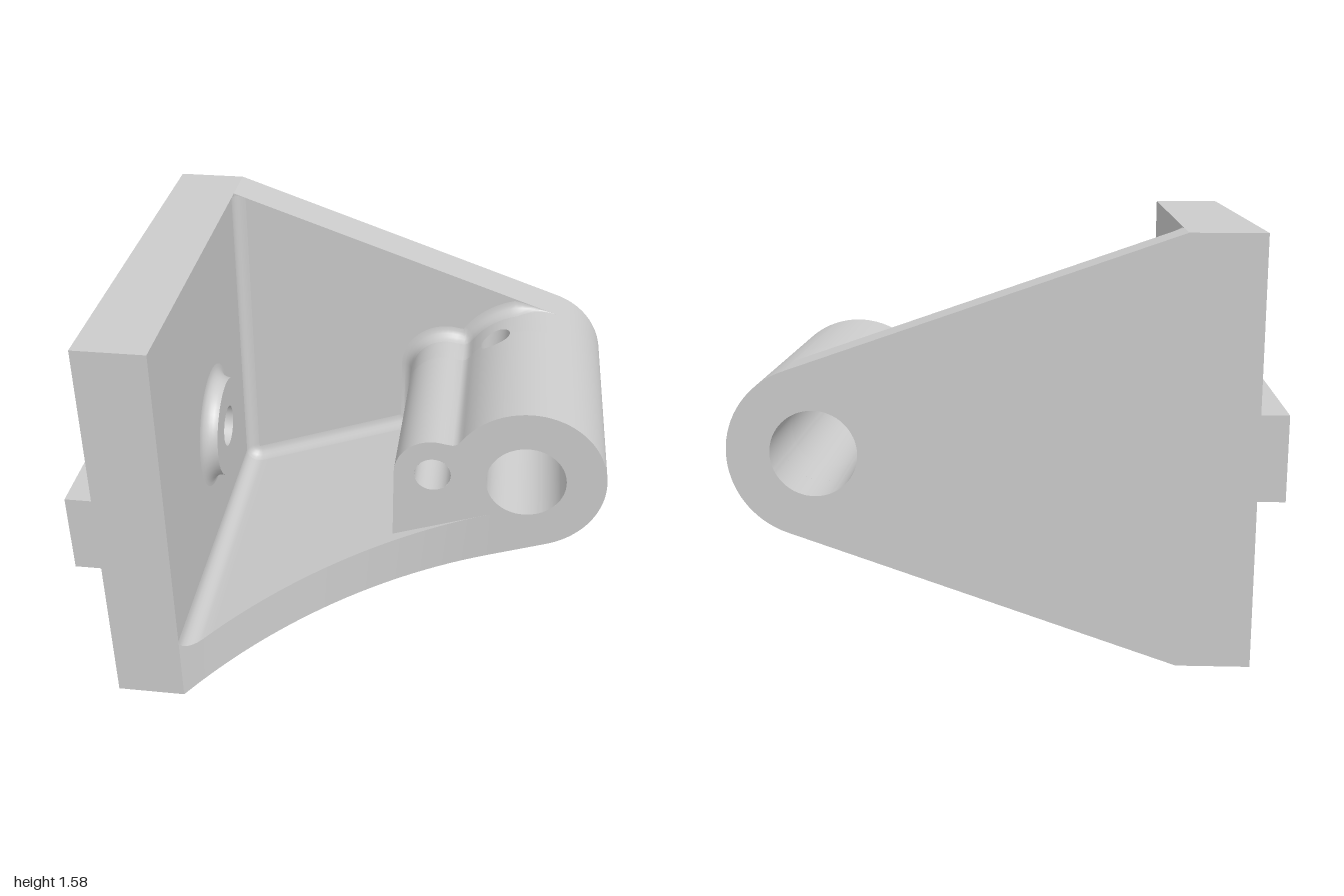
import * as THREE from 'three';
import { toCreasedNormals } from 'three/addons/utils/BufferGeometryUtils.js';

const BACK = -0.79, WEB = -0.6, FRONT = 0.255;          // z planes
const BX = 0.68, BY = 0.79, BR = 0.315, BORE = 0.158;   // pivot barrel
const HX = 0.52, HZ = -0.41, HR = 0.06, CR = 0.145, FLOOR = 0.47; // cross hole
const SX = 0.31, SY = 0.795, SR = 0.155;                // small side lug
const INNER = -0.63, SLOPE = 0.3484, TILT = Math.atan(SLOPE);
const TX = BX + BR * Math.sin(TILT), TY = BR * Math.cos(TILT);

const material = new THREE.MeshStandardMaterial({ color: 0xcccccc, side: THREE.DoubleSide });
const range = (n, f) => Array.from({ length: n + 1 }, (_, i) => f(i / n));
const bottom = x => (x - INNER) * SLOPE;
const ledge = x => bottom(x) + 0.21;
const topLine = x => 1.58 - bottom(x);
const halfChord = (r, d) => Math.sqrt(Math.max(0, r * r - d * d));

// Concave front edge of the lower flange, tangent to the barrel's front plane
const RUN = 0.55 - INNER, RISE = 0.79 - FRONT, ARC = (RUN * RUN + RISE * RISE) / (2 * RISE);
const flangeFront = x => x > 0.55 ? FRONT : FRONT + ARC - halfChord(ARC, x - 0.55);

export function createModel() {
  const group = new THREE.Group();

  function add(name, geometry) {
    const mesh = new THREE.Mesh(geometry, material);
    mesh.name = name;
    group.add(mesh);
    return mesh;
  }

  // Surface through rows of points
  function loft(name, rows) {
    const pos = [];
    for (let r = 0; r + 1 < rows.length; r++) {
      for (let i = 0; i + 1 < rows[r].length; i++) {
        const a = rows[r][i], b = rows[r][i + 1], c = rows[r + 1][i + 1], d = rows[r + 1][i];
        pos.push(...a, ...b, ...c, ...a, ...c, ...d);
      }
    }
    const geo = new THREE.BufferGeometry();
    geo.setAttribute('position', new THREE.Float32BufferAttribute(pos, 3));
    geo.computeVertexNormals();
    add(name, toCreasedNormals(geo, 0.5));
  }

  // Wall swept along z from a profile, with an optional round opening of radius r
  function wall(name, pts, zA, zB, r = 0) {
    const end = x => typeof zB === 'function' ? zB(x) : zB;
    const row = f => pts.map(([x, y]) => [x, y, f(x)]);
    if (!r) return loft(name, [row(() => zA), row(end)]);
    loft(name, [row(() => zA), row(x => HZ - halfChord(r, x - HX))]);
    loft(name, [row(x => HZ + halfChord(r, x - HX)), row(end)]);
  }

  const circle = (x, y, r) => new THREE.Path().absarc(x, y, r, 0, Math.PI * 2, true);
  function face(name, pts, holes, z) {
    const shape = new THREE.Shape(pts.map(p => new THREE.Vector2(...p)));
    shape.holes = holes;
    add(name, new THREE.ShapeGeometry(shape, 32)).position.z = z;
  }

  // Mounting plate and its locating key, both drilled along x
  function slab(name, height, x, depth) {
    const s = new THREE.Shape([[-0.79, -height], [0.79, -height], [0.79, height], [-0.79, height]]
      .map(p => new THREE.Vector2(...p)));
    s.holes.push(circle(0, 0, 0.085));
    const geo = new THREE.ExtrudeGeometry(s, { depth, bevelEnabled: false, curveSegments: 24 });
    add(name, toCreasedNormals(geo.rotateY(Math.PI / 2), 0.5)).position.set(x, BY, 0);
  }
  slab('mountingPlate', 0.79, -0.9, 0.27);
  slab('locatingKey', 0.158, -1, 0.1);

  // Raised pad with a filleted foot around the plate hole
  const pad = [[0.085, 0], [0.085, 0.06], [0.205, 0.06],
    ...range(6, t => [0.26 - 0.055 * Math.cos(t * Math.PI / 2), 0.055 - 0.055 * Math.sin(t * Math.PI / 2)])];
  const padGeo = new THREE.LatheGeometry(pad.map(p => new THREE.Vector2(...p)), 40);
  add('platePad', toCreasedNormals(padGeo.rotateZ(-Math.PI / 2), 0.5)).position.set(INNER, BY, 0);

  // Profiles: flange inside, lug with barrel top, barrel nose
  const f = 0.055, cy = ledge(INNER) + f * (SLOPE + 1 / Math.cos(TILT));
  const corner = range(6, t => {
    const a = Math.PI + t * (Math.PI / 2 + TILT);
    return [INNER + f + f * Math.cos(a), cy + f * Math.sin(a)];
  });
  const left = SX - SR, fx = corner[6][0];
  const flange = [...corner, ...range(16, t => fx + (left - fx) * t).slice(1).map(x => [x, ledge(x)])];
  const ledgeEnd = range(8, t => left + (0.55 - left) * t).map(x => [x, ledge(x)]);
  const holeXs = r => range(20, t => HX - r * Math.cos(t * Math.PI));
  const crownXs = [0.413, 0.425, 0.44, ...holeXs(HR), ...range(8, t => 0.58 + (TX - 0.58) * t).slice(1)];
  const crown = crownXs.map(x => [x, BY + halfChord(BR, x - BX)]);
  const lug = [[left, ledge(left)],
    ...range(14, t => {
      const a = Math.PI - t * Math.PI * 0.58;
      return [SX + SR * Math.cos(a), SY + SR * Math.sin(a)];
    }), [0.385, 0.94], [0.4, 0.945]];
  const lugTop = [...lug, ...crown];
  const nose = range(32, t => {
    const a = (Math.PI / 2 - TILT) * (1 - 2 * t);
    return [BX + BR * Math.cos(a), BY + BR * Math.sin(a)];
  });

  // Back web
  const webOutline = [[INNER, 0], [INNER, 1.58], ...nose];
  face('webBack', webOutline, [circle(BX, BY, BORE)], BACK);
  face('webFront', webOutline, [circle(BX, BY, BORE)], WEB);
  wall('webTopEdge', [[INNER, 1.58], [TX, BY + TY]], BACK, WEB);

  // Lower flange with its curved front edge and counterbored underside
  const underXs = [...range(20, t => INNER + (HX - CR - INNER) * t).slice(0, -1), ...holeXs(CR), TX];
  wall('flangeUnderside', underXs.map(x => [x, bottom(x)]), BACK, flangeFront, CR);
  wall('flangeInside', flange, WEB, flangeFront);
  wall('flangeLedge', ledgeEnd, FRONT, flangeFront);
  const edge = [...flange, ...ledgeEnd.slice(1)];
  loft('flangeFrontEdge', [edge.map(([x]) => [x, bottom(x), flangeFront(x)]),
    edge.map(([x, y]) => [x, y, flangeFront(x)])]);

  // Pivot barrel and side lug
  wall('lugWall', lugTop, WEB, FRONT, HR);
  wall('barrelNose', nose, BACK, FRONT);
  face('barrelFront', [...lugTop, ...nose.slice(1), [left, bottom(left)]],
    [circle(BX, BY, BORE), circle(SX, SY, 0.073)], FRONT);
  wall('barrelBore', range(96, t => [BX + BORE * Math.cos(t * Math.PI * 2), BY + BORE * Math.sin(t * Math.PI * 2)]),
    BACK, FRONT, HR);

  // Blind drilled hole with a conical end
  const drill = [[0.073, 0], [0.073, -0.5], [0, -0.545]].map(p => new THREE.Vector2(...p));
  add('lugHole', toCreasedNormals(new THREE.LatheGeometry(drill, 24).rotateX(Math.PI / 2), 0.5))
    .position.set(SX, SY, FRONT);

  // Vertical cross hole, interrupted by the bore, and its counterbore
  const ring = (r, y) => range(40, t => {
    const a = t * Math.PI * 2, x = HX + r * Math.cos(a);
    return [x, y(x), HZ + r * Math.sin(a)];
  });
  const boreHalf = x => halfChord(BORE, x - BX);
  loft('crossHoleLower', [ring(HR, () => FLOOR), ring(HR, x => BY - boreHalf(x))]);
  loft('crossHoleUpper', [ring(HR, x => BY + boreHalf(x)), ring(HR, x => BY + halfChord(BR, x - BX))]);
  loft('counterbore', [ring(CR, bottom), ring(CR, () => FLOOR)]);
  loft('counterboreFloor', [ring(CR, () => FLOOR), ring(HR, () => FLOOR)]);

  // Fillet where the pocket walls meet the web, fading out along the barrel top
  const path = [[INNER, 1.58], ...flange, ...lugTop.slice(1)];
  const normals = path.map((p, i) => {
    const unit = (a, b) => new THREE.Vector2(a[1] - b[1], b[0] - a[0]).normalize();
    const n0 = unit(path[Math.max(i - 1, 0)], path[Math.max(i, 1)]);
    const n1 = unit(path[Math.min(i, path.length - 2)], path[Math.min(i + 1, path.length - 1)]);
    return n0.clone().add(n1).divideScalar(Math.max(0.5, 1 + n0.dot(n1)));
  });
  loft('pocketFillet', range(5, t => path.map(([x, y], i) => {
    const room = Math.max(0, (topLine(x) - y) * Math.cos(TILT));
    const r = i ? Math.min(0.05, room) : 0.05, a = t * Math.PI / 2;
    const off = r * (1 - Math.cos(a)), px = x + normals[i].x * off;
    return [px, Math.min(y + normals[i].y * off, topLine(px)), WEB + r * (1 - Math.sin(a))];
  })));

  return group;
}
